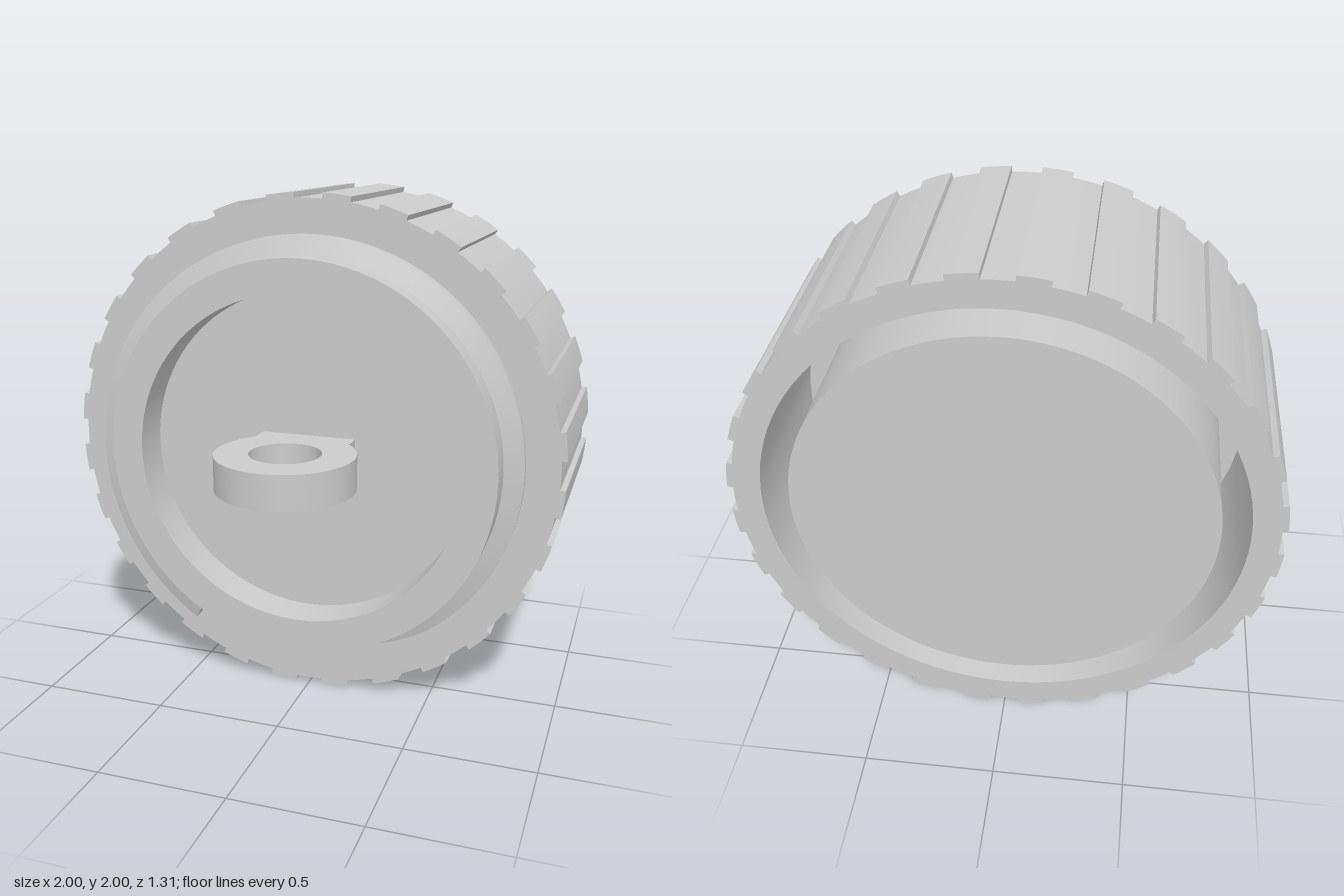
import * as THREE from 'three';
import { toCreasedNormals } from 'three/addons/utils/BufferGeometryUtils.js';

const material = new THREE.MeshStandardMaterial({ color: 0xcccccc });
const BACK = -0.66, FACE = 0.12, LIP = 0.28;
const BORE = 0.878, NECK = 0.775, RECESS = 0.647;

function addPart(group, name, geometry) {
  const mesh = new THREE.Mesh(toCreasedNormals(geometry, 0.4), material);
  mesh.name = name;
  group.add(mesh);
}

// Outer sleeve with 28 shallow grip grooves
function gripSleeve() {
  const teeth = 28, step = Math.PI / teeth;
  const outline = new THREE.Shape();
  for (let i = 0; i < teeth; i++) {
    const a = (i * 2 - 0.5) * step;
    outline.absarc(0, 0, 0.98, a, a + step, false);
    outline.absarc(0, 0, 1.0016, a + step, a + 2 * step, false);
  }
  outline.closePath();
  const bore = new THREE.Path().absarc(0, 0, BORE, 0, Math.PI * 2, true);
  outline.holes.push(new THREE.Path(bore.getPoints(48)));
  return new THREE.ExtrudeGeometry(outline, { depth: FACE - BACK, bevelEnabled: false, curveSegments: 2 })
    .translate(0, 0, BACK);
}

// Plug, channel floor, front face, neck and front recess in one turned profile
function turnedCore() {
  const profile = [
    [0, BACK], [NECK, BACK], [NECK, 0], [BORE, 0], [BORE, FACE], [NECK, FACE],
    [NECK, LIP], [RECESS, LIP], [RECESS, FACE], [0, FACE],
  ].map(([r, z]) => new THREE.Vector2(r, z));
  return new THREE.LatheGeometry(profile, 96).rotateX(Math.PI / 2);
}

// Trapezoid ridge swept along a helix that rises out of the front face
function screwThread() {
  const section = [[0.765, -0.047], [0.85, -0.022], [0.85, 0.022], [0.765, 0.047]];
  const steps = 100, start = -1.45, end = 4.15;
  const positions = [], index = [];
  for (let i = 0; i <= steps; i++) {
    const a = start + (end - start) * i / steps;
    const z = 0.12 + 0.07 * a / Math.PI;
    for (const [r, dz] of section) positions.push(r * Math.cos(a), r * Math.sin(a), z + dz);
  }
  for (let i = 0; i < steps; i++) {
    for (let k = 0; k < 4; k++) {
      const a = i * 4 + k, b = i * 4 + (k + 1) % 4;
      index.push(a, a + 4, b, b, a + 4, b + 4);
    }
  }
  const last = steps * 4;
  index.push(0, 1, 2, 0, 2, 3, last, last + 2, last + 1, last, last + 3, last + 2);
  const geometry = new THREE.BufferGeometry();
  geometry.setAttribute('position', new THREE.Float32BufferAttribute(positions, 3));
  geometry.setIndex(index);
  geometry.computeVertexNormals();
  return geometry;
}

// Flat eyelet on a short square foot
function hangingLoop() {
  const cz = 0.385, radius = 0.267, half = 0.19;
  const a = -Math.acos(half / radius);
  const outline = new THREE.Shape();
  outline.moveTo(-half, FACE - 0.01);
  outline.lineTo(half, FACE - 0.01);
  outline.absarc(0, cz, radius, a, Math.PI - a, false);
  outline.closePath();
  outline.holes.push(new THREE.Path().absarc(0, cz, 0.137, 0, Math.PI * 2, true));
  return new THREE.ExtrudeGeometry(outline, { depth: 0.135, bevelEnabled: false, curveSegments: 24 })
    .rotateX(Math.PI / 2).translate(0, 0.07, 0);
}

export function createModel() {
  const model = new THREE.Group();
  model.name = 'threadedCap';
  const cap = new THREE.Group();
  cap.name = 'cap';
  cap.position.y = 1;
  addPart(cap, 'gripSleeve', gripSleeve());
  addPart(cap, 'core', turnedCore());
  addPart(cap, 'screwThread', screwThread());
  addPart(cap, 'hangingLoop', hangingLoop());
  model.add(cap);
  return model;
}
